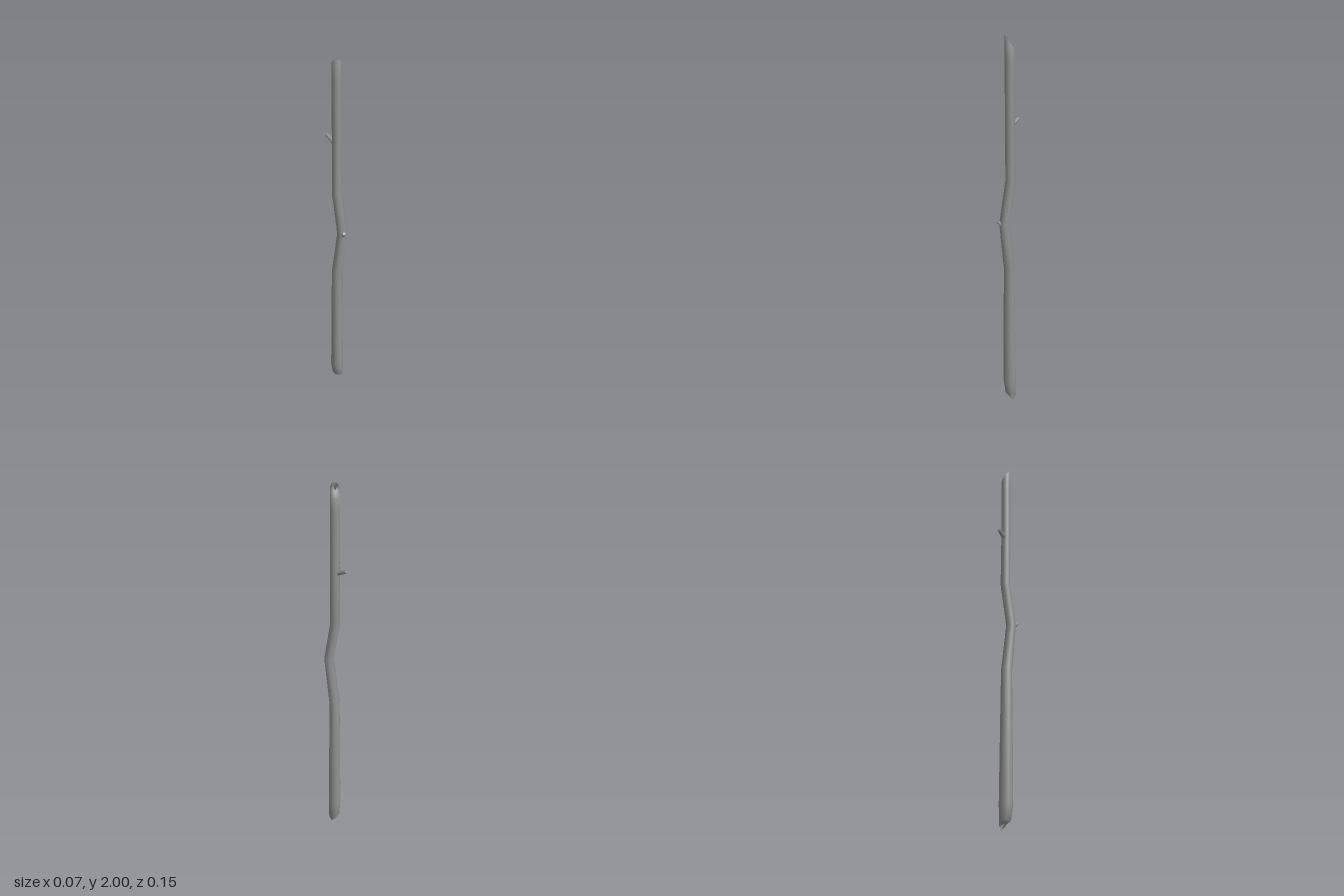
import * as THREE from 'three';

const SIDES = 10;

// Skin a list of rings (each an array of Vector3, running upward) with softly shaded ends
function skin(rings, name, material) {
  const pos = [], idx = [];
  const add = (p) => pos.push(p.x, p.y, p.z) / 3 - 1;
  const n = rings[0].length, last = rings.length - 1;
  rings.forEach((ring) => ring.forEach(add));
  for (let r = 0; r < last; r++) {
    for (let i = 0; i < n; i++) {
      const a = r * n + i, b = r * n + (i + 1) % n;
      idx.push(a, b, a + n, b, b + n, a + n);
    }
  }
  const cap = (r, up) => {
    const mid = new THREE.Vector3();
    rings[r].forEach((p) => mid.addScaledVector(p, 1 / n));
    const c = add(mid);
    for (let i = 0; i < n; i++) {
      const a = r * n + i, b = r * n + (i + 1) % n;
      if (up) idx.push(c, a, b); else idx.push(c, b, a);
    }
  };
  cap(0, false);
  cap(last, true);
  const geo = new THREE.BufferGeometry();
  geo.setAttribute('position', new THREE.Float32BufferAttribute(pos, 3));
  geo.setIndex(idx);
  geo.computeVertexNormals();
  const mesh = new THREE.Mesh(geo, material);
  mesh.name = name;
  return mesh;
}

// Ring angle runs from +x toward -z (counter-clockwise seen from above)
function ringAt([x, y, z, rx, rz], heightRule = () => y) {
  return Array.from({ length: SIDES }, (_, i) => {
    const a = i / SIDES * Math.PI * 2, c = Math.cos(a), s = -Math.sin(a);
    return new THREE.Vector3(x + rx * c, heightRule(c, s), z + rz * s);
  });
}

// Short broken-off side twig, tapering from start to end
function twig(start, end, r0, r1, name, material) {
  const a = new THREE.Vector3(...start), b = new THREE.Vector3(...end);
  const length = a.distanceTo(b);
  const mesh = new THREE.Mesh(new THREE.CylinderGeometry(r1, r0, length, 6), material);
  mesh.position.copy(a).add(b).multiplyScalar(0.5);
  mesh.quaternion.setFromUnitVectors(new THREE.Vector3(0, 1, 0), b.sub(a).normalize());
  mesh.name = name;
  return mesh;
}

export function createModel() {
  const group = new THREE.Group();
  group.name = 'stick';
  const bark = new THREE.MeshStandardMaterial({ color: 0x929292 });

  // Main shaft: x, y, z of the centre, then half-widths in x and z
  const stations = [
    [-0.001, 0.12, -0.003, 0.034, 0.034],
    [-0.002, 0.45, -0.002, 0.031, 0.031],
    [-0.003, 0.8, -0.001, 0.028, 0.027],
    [-0.005, 1.06, 0.036, 0.025, 0.025],
    [0.001, 1.28, -0.006, 0.025, 0.025],
    [-0.001, 1.6, -0.004, 0.024, 0.024],
    [-0.002, 1.88, -0.004, 0.024, 0.024],
  ];
  const rings = stations.map((s) => ringAt(s));

  // Foot: chopped to a point on the left side
  rings.unshift(ringAt([0.004, 0, -0.003, 0.025, 0.032],
    (c, s) => 0.046 * Math.min(1, 0.5 * (1 - c) + 0.5 * Math.abs(s))));
  // Head: slanted cut, highest at the front right
  rings.push(ringAt([-0.002, 2, -0.004, 0.024, 0.024],
    (c, s) => Math.min(2, 1.968 - 0.024 * c + 0.024 * s)));
  group.add(skin(rings, 'shaft', bark));

  // Side twigs
  group.add(twig([-0.002, 1.56, -0.015], [-0.003, 1.585, -0.07], 0.014, 0.009, 'backTwig', bark));
  group.add(twig([-0.008, 1.05, 0.045], [-0.023, 1.078, 0.066], 0.014, 0.008, 'frontTwig', bark));
  return group;
}
